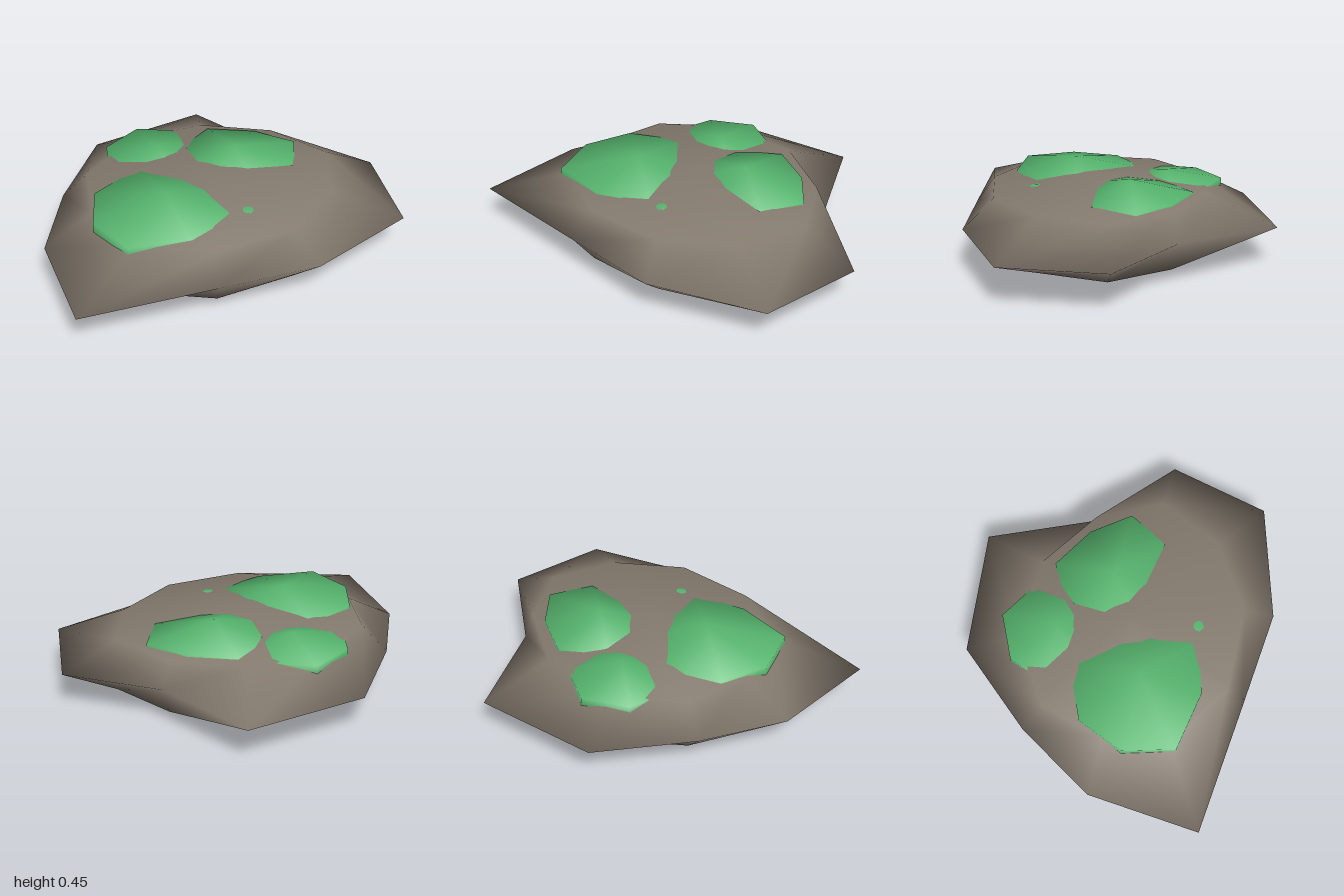
import * as THREE from 'three';

const rock = new THREE.MeshStandardMaterial({ color: 0x857b6f });
rock.name = 'stone';
const moss = new THREE.MeshStandardMaterial({ color: 0x57b66f });
moss.name = 'moss green';

const DEPTH = 0.85; // every form is squashed a little from front to back

// Squashed, uneven sphere: one list of radii per ring, running from +x towards +z
function lump(name, material, [cx, cy, cz], height, rings) {
  const n = rings[0].length;
  const pos = [cx, cy + height, cz];
  rings.forEach((radii, r) => {
    const phi = Math.PI * (r + 1) / (rings.length + 1);
    radii.forEach((radius, i) => {
      const a = i / n * Math.PI * 2;
      const s = radius * Math.sin(phi);
      pos.push(cx + s * Math.cos(a), cy + height * Math.cos(phi), cz + s * DEPTH * Math.sin(a));
    });
  });
  pos.push(cx, cy - height, cz);

  const last = pos.length / 3 - 1;
  const index = [];
  for (let i = 0; i < n; i++) {
    const j = (i + 1) % n;
    index.push(0, 1 + j, 1 + i);
    for (let r = 0; r < rings.length - 1; r++) {
      const t = 1 + r * n, b = t + n;
      index.push(t + i, t + j, b + j, t + i, b + j, b + i);
    }
    const b = 1 + (rings.length - 1) * n;
    index.push(b + i, b + j, last);
  }
  const geo = new THREE.BufferGeometry();
  geo.setAttribute('position', new THREE.Float32BufferAttribute(pos, 3));
  geo.setIndex(index);
  geo.computeVertexNormals();
  const mesh = new THREE.Mesh(geo, material);
  mesh.name = name;
  return mesh;
}

// Moss patch: low dome with a short upright rim sunk into the stone
function patch(name, center, height, rim) {
  const radii = rim.map((r) => r / Math.sin(Math.PI / 3));
  return lump(name, moss, center, height, [radii, radii]);
}

export function createModel() {
  const model = new THREE.Group();
  model.name = 'mossyRock';

  // Flat boulder with a jagged rim
  const shoulder = [1.02, 0.98, 1.0, 1.01, 1.01, 0.93, 0.98, 1.01, 0.98, 0.96];
  const rim = [1.02, 1.1, 0.906, 0.84, 1.21, 0.93, 0.84, 1.04, 1.13, 0.73];
  model.add(lump('boulder', rock, [-0.02, 0.21, 0.09], 0.21, [shoulder, rim, shoulder]));

  // Moss patches on top
  model.add(patch('mossLarge', [-0.32, 0.30, 0.21], 0.15,
    [0.37, 0.415, 0.39, 0.455, 0.40, 0.42, 0.45, 0.38]));
  model.add(patch('mossMiddle', [0.20, 0.30, -0.06], 0.15,
    [0.38, 0.37, 0.31, 0.35, 0.35, 0.33, 0.39, 0.325]));
  model.add(patch('mossBack', [-0.15, 0.30, -0.285], 0.11,
    [0.28, 0.28, 0.28, 0.28, 0.30, 0.325, 0.36, 0.30]));
  model.add(patch('mossSpeck', [0.04, 0.30, 0.43], 0.089,
    [0.22, 0.22, 0.22, 0.22, 0.22, 0.22, 0.22, 0.22]));
  return model;
}
